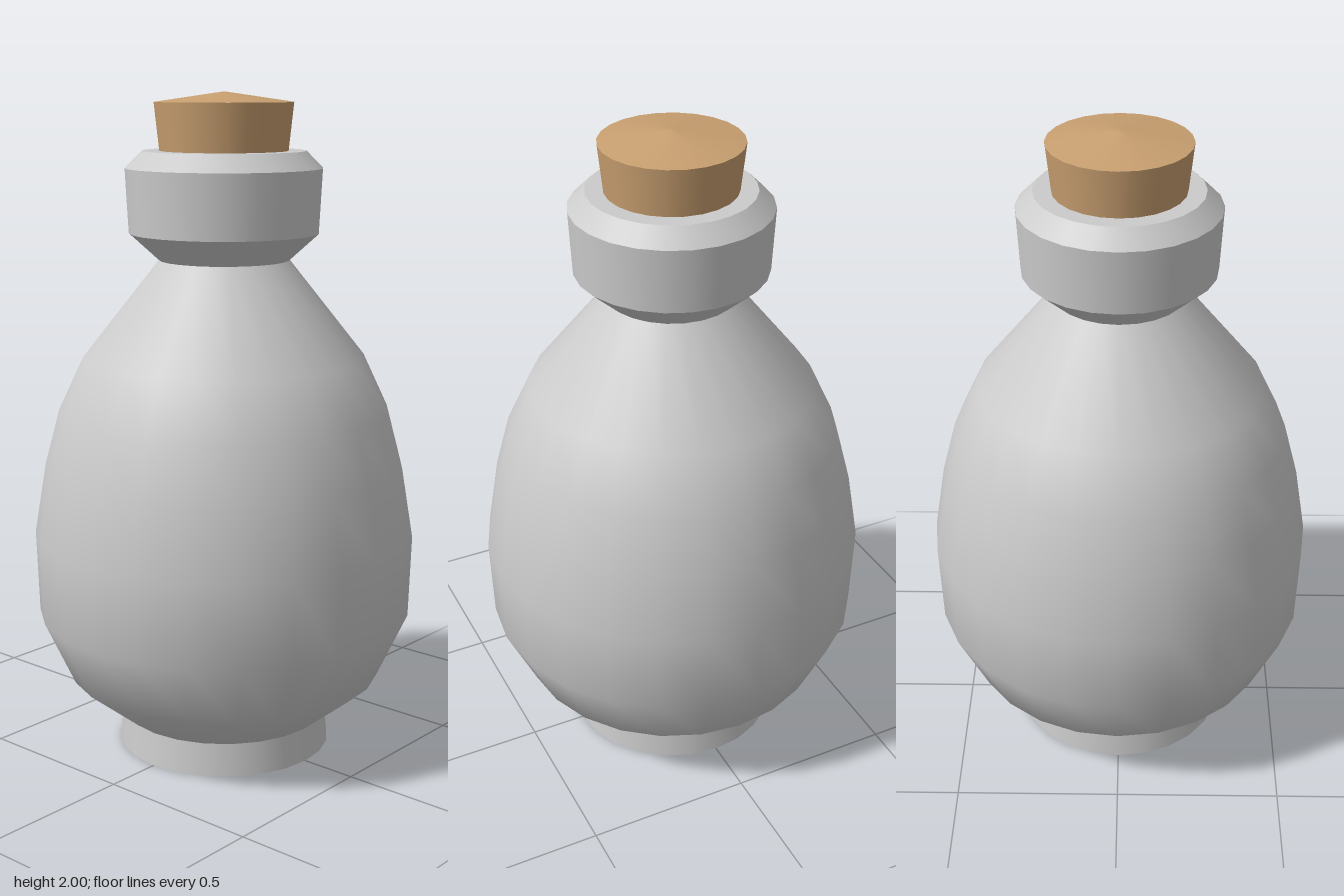
import * as THREE from 'three';

const SIDES = 24;
const glass = new THREE.MeshStandardMaterial({ color: 0xcccccc });
const corkMaterial = new THREE.MeshStandardMaterial({ color: 0xc89f70 });

// Turned part from [radius, height] bands, listed bottom to top.
// Each band is smooth inside; the edges between bands stay sharp.
function turned(name, material, bands) {
  const part = new THREE.Group();
  part.name = name;
  bands.forEach((band, i) => {
    const points = band.map(([r, y]) => new THREE.Vector2(r, y));
    const mesh = new THREE.Mesh(new THREE.LatheGeometry(points, SIDES), material);
    mesh.name = `${name}Band${i + 1}`;
    part.add(mesh);
  });
  return part;
}

export function createModel() {
  const bottle = new THREE.Group();
  bottle.name = 'corkedBottle';

  // Flat-bottomed foot
  bottle.add(turned('foot', glass, [
    [[0, 0], [0.328, 0]],
    [[0.328, 0], [0.318, 0.1]],
  ]));

  // Egg-shaped body tapering to the neck
  bottle.add(turned('body', glass, [[
    [0.318, 0.1], [0.48, 0.23], [0.572, 0.43], [0.58, 0.68],
    [0.545, 0.89], [0.5, 1.06], [0.425, 1.22], [0.195, 1.51],
  ]]));

  // Collar with chamfered edges and a flat rim
  bottle.add(turned('collar', glass, [
    [[0.195, 1.51], [0.283, 1.59]],
    [[0.283, 1.59], [0.293, 1.78]],
    [[0.293, 1.78], [0.243, 1.83]],
    [[0.243, 1.83], [0.17, 1.83]],
  ]));

  // Tapered stopper with a shallow domed top, sunk into the neck
  bottle.add(turned('cork', corkMaterial, [
    [[0, 1.75], [0.182, 1.75]],
    [[0.182, 1.75], [0.206, 1.97]],
    [[0.206, 1.97], [0, 2]],
  ]));

  return bottle;
}
